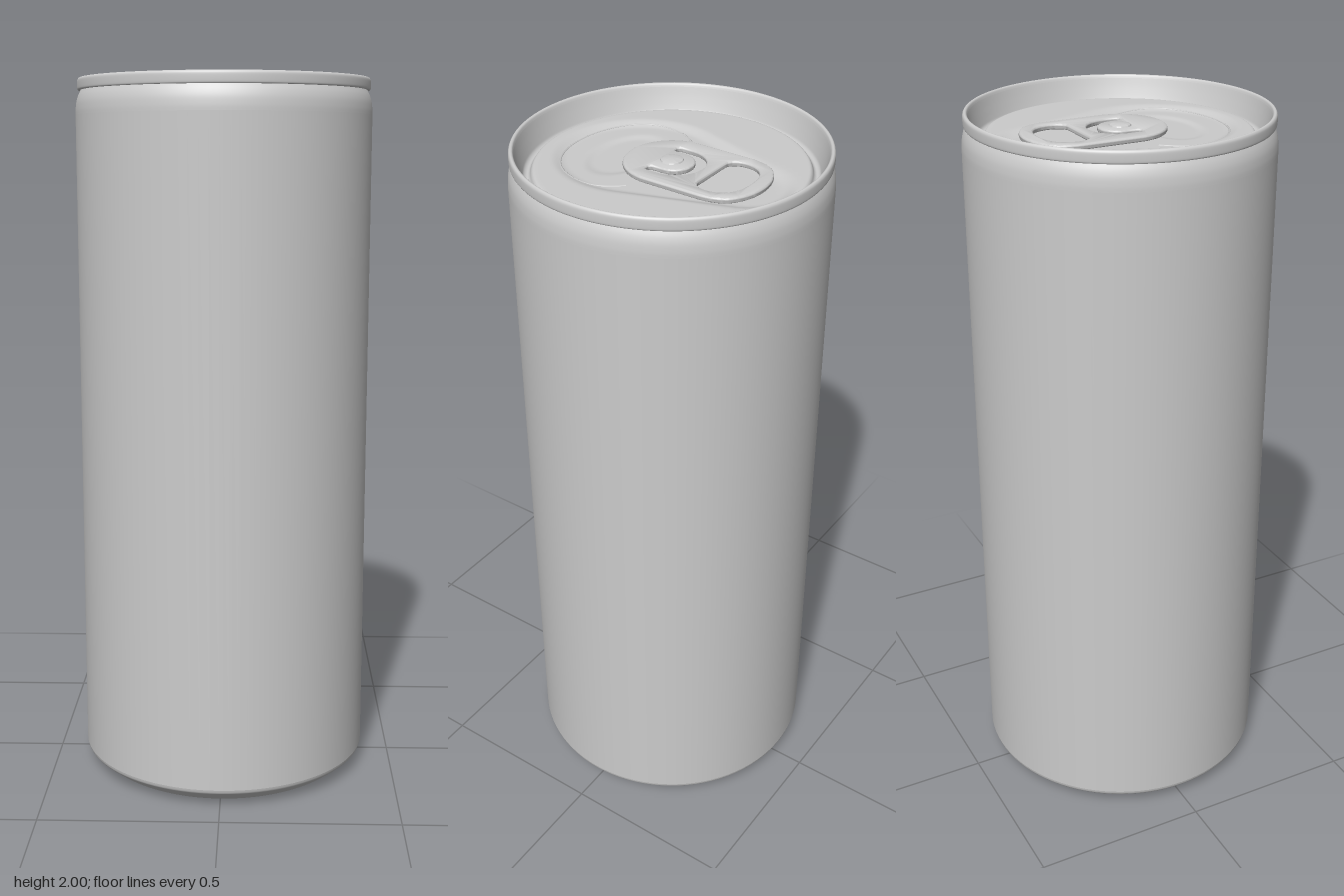
import * as THREE from 'three';
import { mergeVertices, toCreasedNormals } from 'three/addons/utils/BufferGeometryUtils.js';

const material = new THREE.MeshStandardMaterial({ color: 0xcccccc, metalness: 0.1, roughness: 0.5 });
const SEGMENTS = 96;
const PANEL_Y = 1.945;

function addMesh(group, name, geometry) {
  const mesh = new THREE.Mesh(geometry, material);
  mesh.name = name;
  group.add(mesh);
  return mesh;
}

// Revolve a profile of [radius, height] pairs, listed so the outside is on its right
function revolve(pairs, smoothSteps = 0) {
  let points = pairs.map(([r, y]) => new THREE.Vector2(r, y));
  if (smoothSteps) points = new THREE.SplineCurve(points).getPoints(smoothSteps);
  points.forEach((p) => { p.x = Math.max(p.x, 0); });
  return new THREE.LatheGeometry(points, SEGMENTS);
}

// Signed distance to a teardrop: a big front circle joined to a small back circle
function teardropDistance(x, z) {
  const zBack = -0.22, rBack = 0.115, length = 0.32, rFront = 0.215;
  const slope = (rBack - rFront) / length;
  const across = Math.sqrt(1 - slope * slope);
  const px = Math.abs(x), pz = z - zBack;
  const k = -px * slope + pz * across;
  if (k < 0) return Math.hypot(px, pz) - rBack;
  if (k > across * length) return Math.hypot(px, pz - length) - rFront;
  return px * across + pz * slope - rBack;
}

// Pressed relief of the lid: teardrop recess and a shallow dish in front of the tab
function lidHeight(x, z) {
  const recess = 1 - THREE.MathUtils.smoothstep(teardropDistance(x, z), -0.025, 0.015);
  const dish = 1 - THREE.MathUtils.smoothstep(Math.hypot(x / 0.135, (z - 0.145) / 0.085), 0.8, 1.05);
  return PANEL_Y - 0.011 * recess - 0.005 * dish;
}

function lidPanel() {
  const profile = [];
  for (let i = 0; i <= 56; i++) profile.push([0.34 * (1 - i / 56), PANEL_Y]);
  let geometry = revolve(profile);
  const pos = geometry.attributes.position;
  for (let i = 0; i < pos.count; i++) pos.setY(i, lidHeight(pos.getX(i), pos.getZ(i)));
  geometry.deleteAttribute('uv');
  geometry.deleteAttribute('normal');
  geometry = mergeVertices(geometry, 1e-5);
  geometry.computeVertexNormals();
  return geometry;
}

// Pull tab drawn flat; shape y points to the back of the can
function pullTab() {
  const tab = new THREE.Shape();
  tab.moveTo(0.125, 0);
  tab.lineTo(0.125, 0.16);
  tab.quadraticCurveTo(0.124, 0.205, 0.103, 0.235);
  tab.bezierCurveTo(0.075, 0.262, 0.04, 0.275, 0, 0.275);
  tab.bezierCurveTo(-0.04, 0.275, -0.075, 0.262, -0.103, 0.235);
  tab.quadraticCurveTo(-0.124, 0.205, -0.125, 0.16);
  tab.lineTo(-0.125, 0);
  tab.absarc(0, 0, 0.125, Math.PI, Math.PI * 2, false);

  // Finger hole
  const finger = new THREE.Path();
  finger.moveTo(-0.06, 0.122);
  finger.lineTo(0.06, 0.122);
  finger.bezierCurveTo(0.082, 0.122, 0.092, 0.145, 0.092, 0.165);
  finger.bezierCurveTo(0.09, 0.215, 0.055, 0.236, 0, 0.236);
  finger.bezierCurveTo(-0.055, 0.236, -0.09, 0.215, -0.092, 0.165);
  finger.bezierCurveTo(-0.092, 0.145, -0.082, 0.122, -0.06, 0.122);

  // Arched slit that frees the tongue around the rivet
  const slit = new THREE.Path();
  slit.moveTo(0.078, -0.02);
  slit.lineTo(0.078, 0.012);
  slit.absarc(0, 0.012, 0.078, 0, Math.PI, false);
  slit.lineTo(-0.078, -0.02);
  slit.absarc(-0.0655, -0.02, 0.0125, Math.PI, Math.PI * 2, false);
  slit.lineTo(-0.053, 0.008);
  slit.absarc(0, 0.008, 0.053, Math.PI, 0, true);
  slit.lineTo(0.053, -0.02);
  slit.absarc(0.0655, -0.02, 0.0125, Math.PI, Math.PI * 2, false);
  tab.holes.push(finger, slit);

  const bevel = 0.006;
  const geometry = new THREE.ExtrudeGeometry(tab, {
    depth: 0.004, bevelEnabled: true, bevelThickness: bevel, bevelSize: bevel,
    bevelOffset: -bevel, bevelSegments: 4, curveSegments: 20,
  });
  geometry.rotateX(-Math.PI / 2);
  geometry.translate(0, bevel, 0);
  return toCreasedNormals(geometry, 0.7);
}

// Fine score line outlining the mouth, following the lid relief
function scoreLine() {
  const points = [];
  for (let i = 0; i <= 40; i++) {
    const a = THREE.MathUtils.lerp(-0.72, Math.PI + 0.72, i / 40);
    const x = 0.197 * Math.cos(a), z = 0.14 + 0.157 * Math.sin(a);
    points.push(new THREE.Vector3(x, lidHeight(x, z) - 0.001, z));
  }
  return new THREE.TubeGeometry(new THREE.CatmullRomCurve3(points), 100, 0.003, 6);
}

export function createModel() {
  const can = new THREE.Group();
  can.name = 'drinkCan';

  // Domed underside and standing ring
  addMesh(can, 'baseDome', revolve([
    [0, 0.105], [0.08, 0.102], [0.16, 0.091], [0.24, 0.07], [0.3, 0.043],
    [0.328, 0.02], [0.337, 0.006], [0.348, 0], [0.36, 0.001],
  ], 40));
  addMesh(can, 'baseChamfer', revolve([
    [0.36, 0.001], [0.374, 0.009], [0.39, 0.022], [0.406, 0.034], [0.414, 0.042], [0.417, 0.052],
  ], 20));

  // Straight wall and the neck drawn in below the rim
  addMesh(can, 'wall', revolve([[0.417, 0.052], [0.417, 1.9]]));
  addMesh(can, 'neck', revolve([
    [0.417, 1.9], [0.4165, 1.915], [0.414, 1.935], [0.409, 1.952], [0.402, 1.967],
  ], 20));

  // Seamed rim
  addMesh(can, 'rimUnderside', revolve([[0.4, 1.967], [0.409, 1.967]]));
  addMesh(can, 'rim', revolve([
    [0.409, 1.967], [0.411, 1.972], [0.411, 1.99], [0.409, 1.997], [0.405, 2],
    [0.4, 1.998], [0.397, 1.991],
  ], 30));

  // Inner wall and countersink groove, then the pressed lid
  addMesh(can, 'countersink', revolve([
    [0.397, 1.991], [0.39, 1.967], [0.381, 1.94], [0.376, 1.929], [0.368, 1.925],
    [0.361, 1.929], [0.356, 1.939], [0.35, 1.944], [0.34, PANEL_Y],
  ], 48));
  addMesh(can, 'lidPanel', lidPanel());
  addMesh(can, 'scoreLine', scoreLine());

  // Pull tab held by a rivet
  const tab = addMesh(can, 'pullTab', pullTab());
  tab.position.y = 1.94;
  const rivet = addMesh(can, 'rivet', revolve([
    [0.03, 1.93], [0.03, 1.956], [0.028, 1.959], [0.022, 1.961], [0, 1.962],
  ]));
  rivet.geometry = toCreasedNormals(rivet.geometry, 0.6);

  return can;
}
